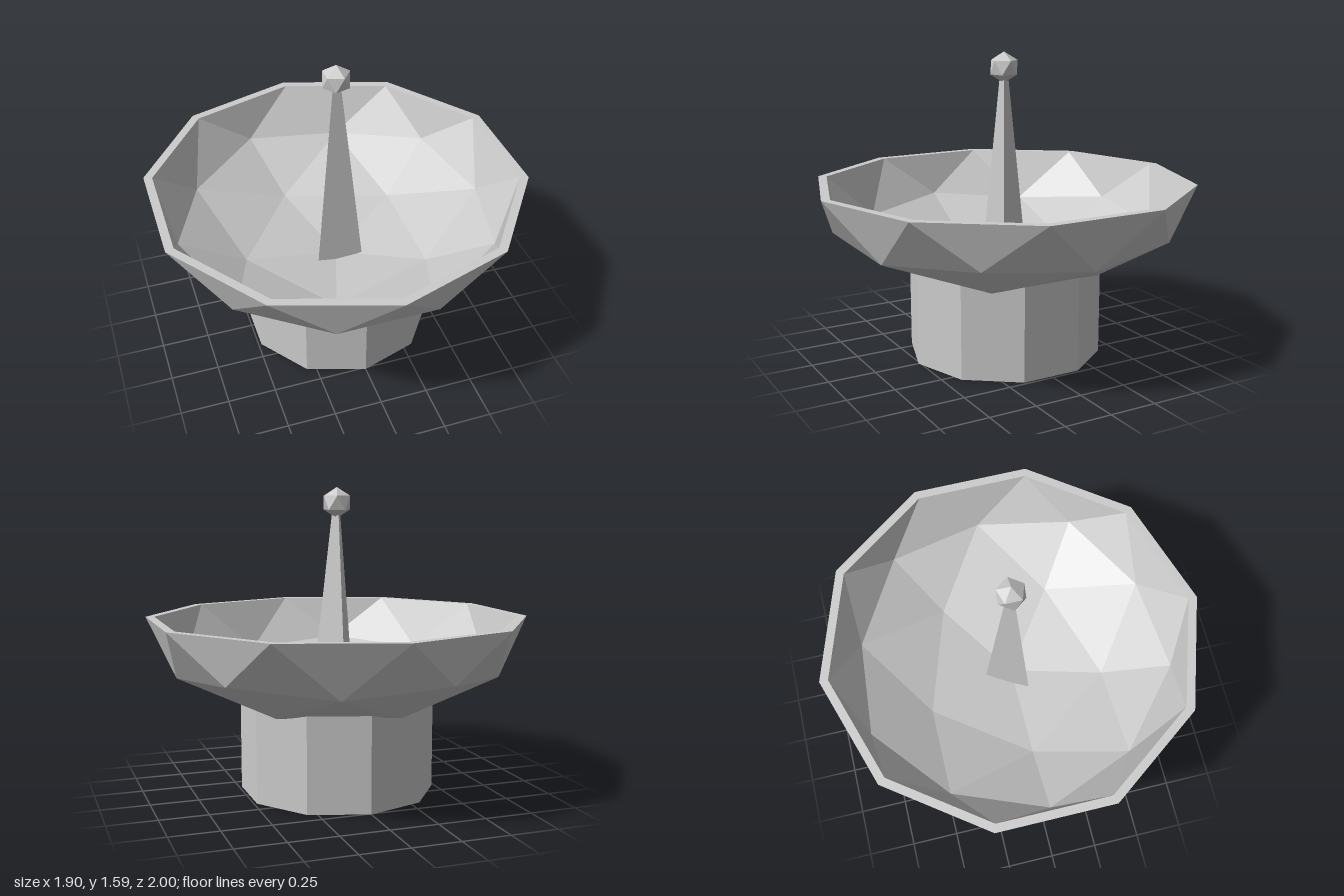
import * as THREE from 'three';

const RIM_Y = 0.92, DEPTH = 0.53, INNER = 0.954;

// Icosphere standing on one of its vertices
function icosphere(radius, detail) {
  const g = new THREE.IcosahedronGeometry(radius, detail);
  g.rotateZ(-Math.atan(2 / (1 + Math.sqrt(5))));
  return g;
}

// Lower half of a squashed icosphere; flip turns the faces inward
function halfBowl(radius, flip) {
  const p = icosphere(radius, 1).getAttribute('position');
  const out = [];
  for (let i = 0; i < p.count; i += 3) {
    if (p.getY(i) + p.getY(i + 1) + p.getY(i + 2) > 0) continue;
    const order = flip ? [i, i + 2, i + 1] : [i, i + 1, i + 2];
    for (const k of order) out.push(p.getX(k), p.getY(k) * DEPTH, p.getZ(k));
  }
  const g = new THREE.BufferGeometry();
  g.setAttribute('position', new THREE.Float32BufferAttribute(out, 3));
  g.computeVertexNormals();
  return g;
}

// Ten-sided wall whose top edge dips under the low corners of the bowl
function baseWall(radius, height) {
  const g = new THREE.CylinderGeometry(radius, radius, height, 20, 1, true);
  g.translate(0, height / 2, 0);
  const p = g.getAttribute('position');
  for (let i = 0; i < p.count; i++) {
    const step = Math.round(Math.atan2(p.getZ(i), p.getX(i)) / (Math.PI / 10)) + 20;
    if (step % 2 === 1) continue; // decagon corner
    const k = Math.cos(Math.PI / 10);
    p.setX(i, p.getX(i) * k);
    p.setZ(i, p.getZ(i) * k);
    if (p.getY(i) > 0.1 && step % 4 === 2) p.setY(i, 0.466);
  }
  g.computeVertexNormals();
  return g;
}

export function createModel() {
  const model = new THREE.Group();
  model.name = 'fountain';
  const material = new THREE.MeshStandardMaterial({ color: 0xcccccc, flatShading: true });
  const add = (name, geometry, y, parent = model) => {
    const mesh = new THREE.Mesh(geometry, material);
    mesh.name = name;
    mesh.position.y = y;
    parent.add(mesh);
  };

  // Pedestal
  const pedestal = new THREE.Group();
  pedestal.name = 'pedestal';
  model.add(pedestal);
  add('pedestalWall', baseWall(0.51, 0.5), 0, pedestal);
  add('pedestalBottom', new THREE.CircleGeometry(0.51, 10, Math.PI / 2).rotateX(Math.PI / 2), 0, pedestal);

  // Basin with wall thickness
  const basin = new THREE.Group();
  basin.name = 'basin';
  model.add(basin);
  add('basinOuter', halfBowl(1, false), RIM_Y, basin);
  add('basinInner', halfBowl(INNER, true), RIM_Y, basin);
  add('basinRim', new THREE.RingGeometry(INNER, 1, 10, 1, Math.PI / 2).rotateX(-Math.PI / 2), RIM_Y, basin);

  // Three-sided spire and its finial
  add('spire', new THREE.CylinderGeometry(0.021, 0.144, 1.08, 3).rotateY(Math.PI), 0.96);
  add('finial', icosphere(0.08, 0), 1.51);

  return model;
}
